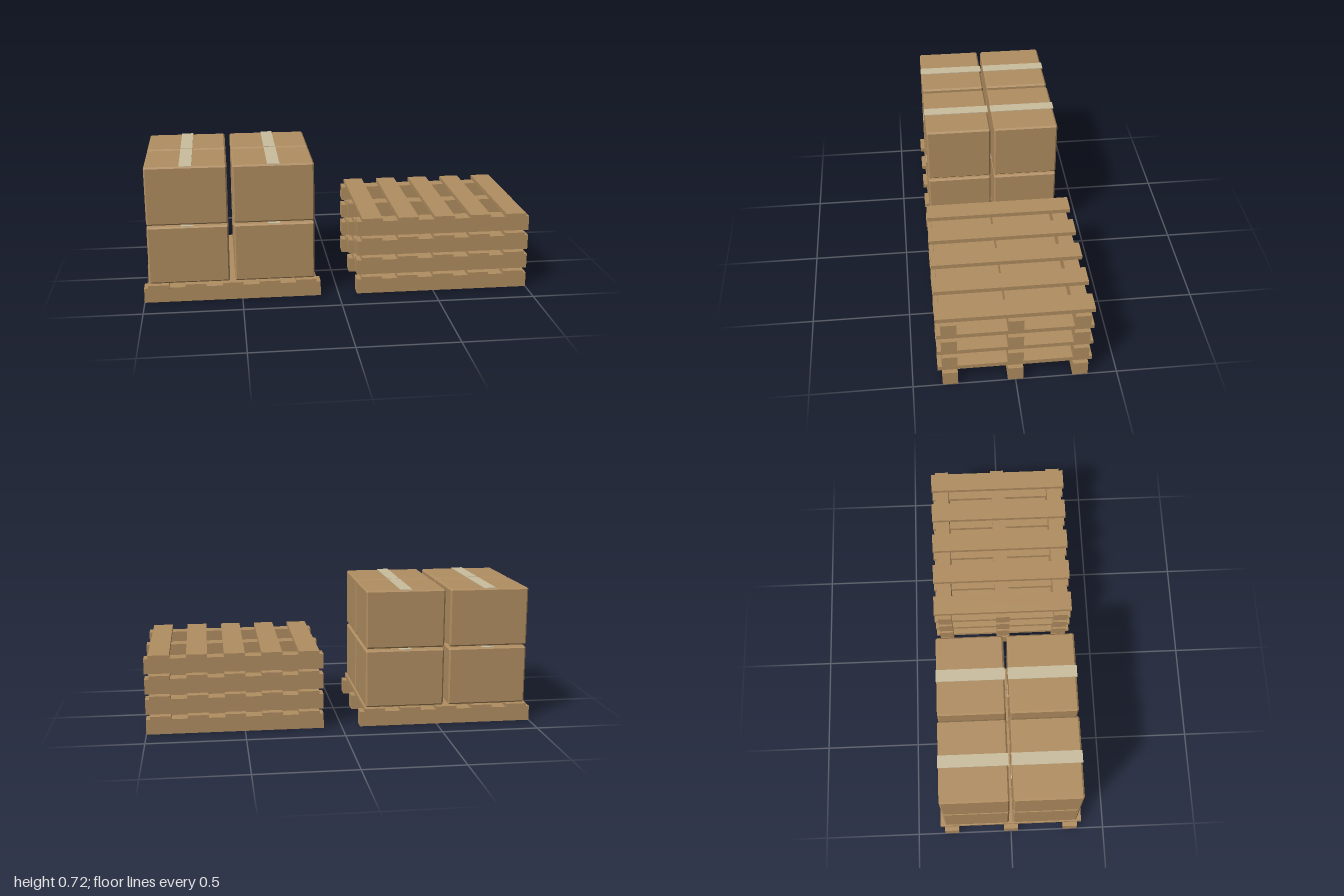
import * as THREE from 'three';
import { ConvexGeometry } from 'three/addons/geometries/ConvexGeometry.js';

const wood = new THREE.MeshStandardMaterial({ name: 'brown', color: 0xb08d60 });
const tapeMat = new THREE.MeshStandardMaterial({ name: 'pale tape', color: 0xcabd9e });

const BOX = [0.41, 0.302, 0.342];
const PALLET_STEP = 0.1055;

function addMesh(parent, name, geometry, material, x, y, z) {
  const mesh = new THREE.Mesh(geometry, material);
  mesh.name = name;
  mesh.position.set(x, y, z);
  parent.add(mesh);
}

// Box with every edge and corner cut by a flat bevel
function chamferedBox(w, h, d, c) {
  const half = [w / 2, h / 2, d / 2];
  const points = [];
  for (const sx of [-1, 1]) for (const sy of [-1, 1]) for (const sz of [-1, 1]) {
    for (let axis = 0; axis < 3; axis++) {
      const p = half.map((v, i) => (i === axis ? v : v - c));
      points.push(new THREE.Vector3(sx * p[0], sy * p[1], sz * p[2]));
    }
  }
  return new ConvexGeometry(points);
}

const stringerGeo = new THREE.BoxGeometry(0.905, 0.077, 0.075);
const slatGeo = new THREE.BoxGeometry(0.105, 0.022, 0.754);
const cartonGeo = chamferedBox(...BOX, 0.008);
const tapeGeo = new THREE.BoxGeometry(0.062, 0.004, 0.348);

// Three long runners below five cross slats
function makePallet(x, y) {
  const pallet = new THREE.Group();
  pallet.name = 'pallet';
  pallet.position.set(x, y, 0);
  for (const z of [-0.318, 0, 0.318]) addMesh(pallet, 'stringer', stringerGeo, wood, 0, 0.0385, z);
  for (let i = -2; i <= 2; i++) addMesh(pallet, 'slat', slatGeo, wood, i * 0.1885, 0.088, 0);
  return pallet;
}

// Cardboard carton with a tape strip along its top
function makeCarton(x, y, z) {
  const carton = new THREE.Group();
  carton.name = 'carton';
  carton.position.set(x, y, z);
  addMesh(carton, 'cartonBody', cartonGeo, wood, 0, BOX[1] / 2, 0);
  addMesh(carton, 'tape', tapeGeo, tapeMat, 0, BOX[1] + 0.002, 0);
  return carton;
}

export function createModel() {
  const model = new THREE.Group();
  model.name = 'palletsWithCartons';

  // Loaded pallet
  const loaded = new THREE.Group();
  loaded.name = 'loadedPallet';
  loaded.add(makePallet(-0.5475, 0));
  for (const y of [0.099, 0.41])
    for (const x of [-0.767, -0.33])
      for (const z of [-0.181, 0.181]) loaded.add(makeCarton(x, y, z));

  // Stack of empty pallets
  const stack = new THREE.Group();
  stack.name = 'palletStack';
  for (let i = 0; i < 4; i++) stack.add(makePallet(0.5475, i * PALLET_STEP));

  model.add(loaded, stack);
  return model;
}
